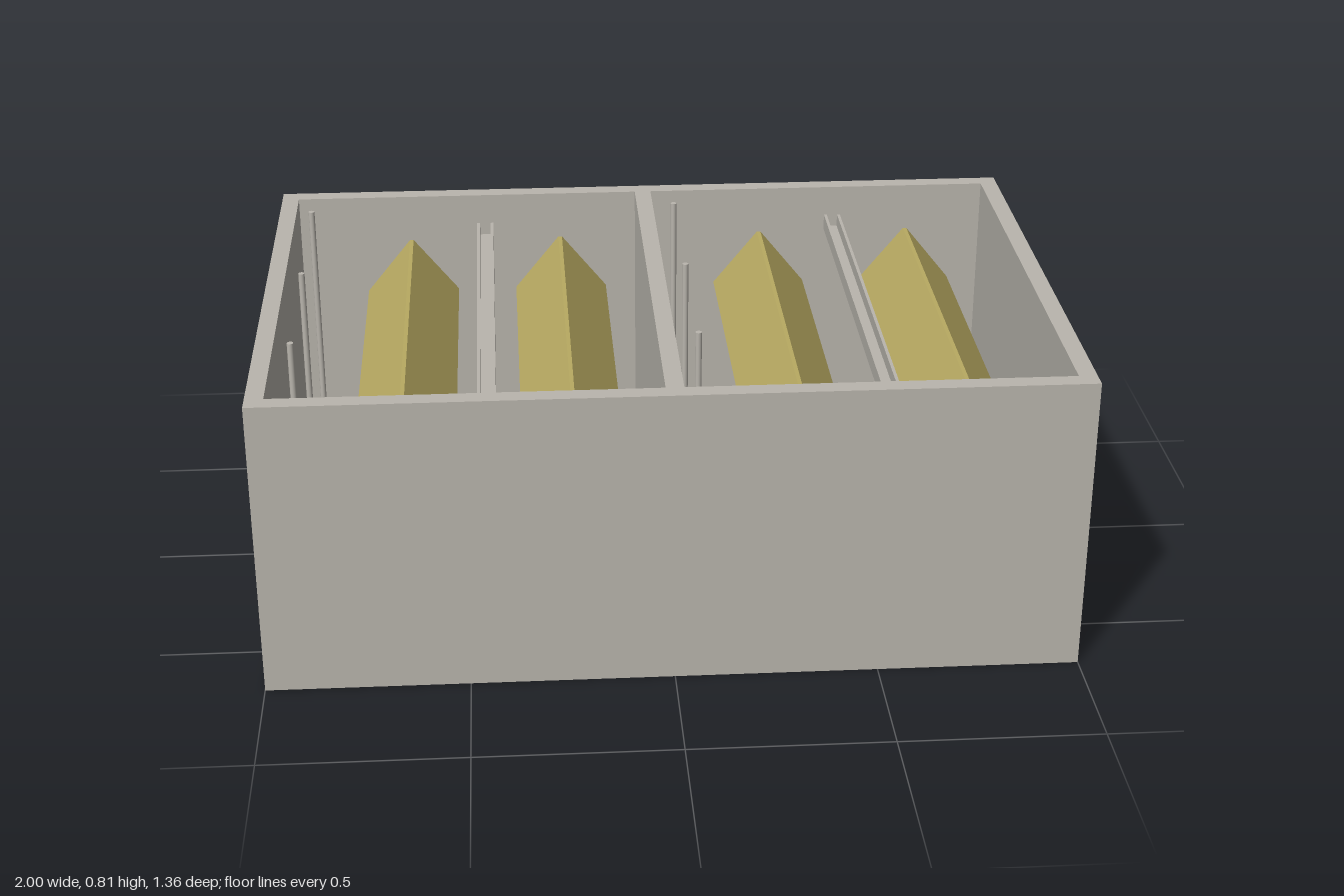
import * as THREE from 'three';

const concrete = new THREE.MeshStandardMaterial({ name: 'concreteGrey', color: 0xb9b5ad });
const ochre = new THREE.MeshStandardMaterial({ name: 'ochreYellow', color: 0xb8aa62 });

const W = 1, D = 0.68, H = 0.765;       // half width, half depth, height
const WALL = 0.045, FLOOR = 0.045;
const INNER = D - WALL;                 // half depth of each basin
const BASIN_X = 0.4885, BASIN_HALF = 0.4665;

function mesh(name, geometry, material, parent) {
  const m = new THREE.Mesh(geometry, material);
  m.name = name;
  parent.add(m);
  return m;
}

function outline(points) {
  return new THREE.Shape(points.map(([x, y]) => new THREE.Vector2(x, y)));
}

function rectangle(cx, hw, hd) {
  return [[cx - hw, -hd], [cx + hw, -hd], [cx + hw, hd], [cx - hw, hd]];
}

// Profile in x/y run along the full length of a basin
function alongBasin(points) {
  const g = new THREE.ExtrudeGeometry(outline(points), { depth: 2 * INNER, bevelEnabled: false });
  return g.translate(0, 0, -INNER);
}

// Inverted V baffle with a narrow flat ridge, open underneath
const baffleGeometry = alongBasin([
  [-0.127, 0.485], [-0.115, 0.477], [0, 0.615], [0.115, 0.477],
  [0.127, 0.485], [0.005, 0.636], [-0.005, 0.636],
]);

// U-shaped collecting channel
const channelGeometry = alongBasin([
  [-0.0225, 0.64], [0.0225, 0.64], [0.0225, 0.682], [0.0145, 0.682],
  [0.0145, 0.648], [-0.0145, 0.648], [-0.0145, 0.682], [-0.0225, 0.682],
]);

const PIPE_TOP = 0.81;
const pipeGeometry = new THREE.CylinderGeometry(0.008, 0.008, PIPE_TOP - FLOOR, 12);

function createBasinFittings(side) {
  const basin = new THREE.Group();
  basin.name = side < 0 ? 'rightBasinFittings' : 'leftBasinFittings';
  basin.position.x = side * BASIN_X;
  for (const x of [-0.16, 0.256]) {
    mesh('baffle', baffleGeometry, ochre, basin).position.x = x;
  }
  mesh('channel', channelGeometry, concrete, basin).position.x = 0.047;
  for (const z of [-0.425, 0, 0.425]) {
    mesh('pipe', pipeGeometry, concrete, basin).position.set(-0.4165, (PIPE_TOP + FLOOR) / 2, z);
  }
  return basin;
}

export function createModel() {
  const model = new THREE.Group();
  model.name = 'settlingTank';

  // Outer walls and central divider as one slab with two openings
  const plan = outline(rectangle(0, W, D));
  for (const side of [-1, 1]) {
    plan.holes.push(new THREE.Path(
      rectangle(side * BASIN_X, BASIN_HALF, INNER).reverse().map(([x, y]) => new THREE.Vector2(x, y))));
  }
  const walls = new THREE.ExtrudeGeometry(plan, { depth: H - FLOOR, bevelEnabled: false });
  walls.rotateX(-Math.PI / 2).translate(0, FLOOR, 0);
  mesh('walls', walls, concrete, model);

  mesh('floor', new THREE.BoxGeometry(2 * W, FLOOR, 2 * D), concrete, model).position.y = FLOOR / 2;

  for (const side of [-1, 1]) model.add(createBasinFittings(side));
  return model;
}
